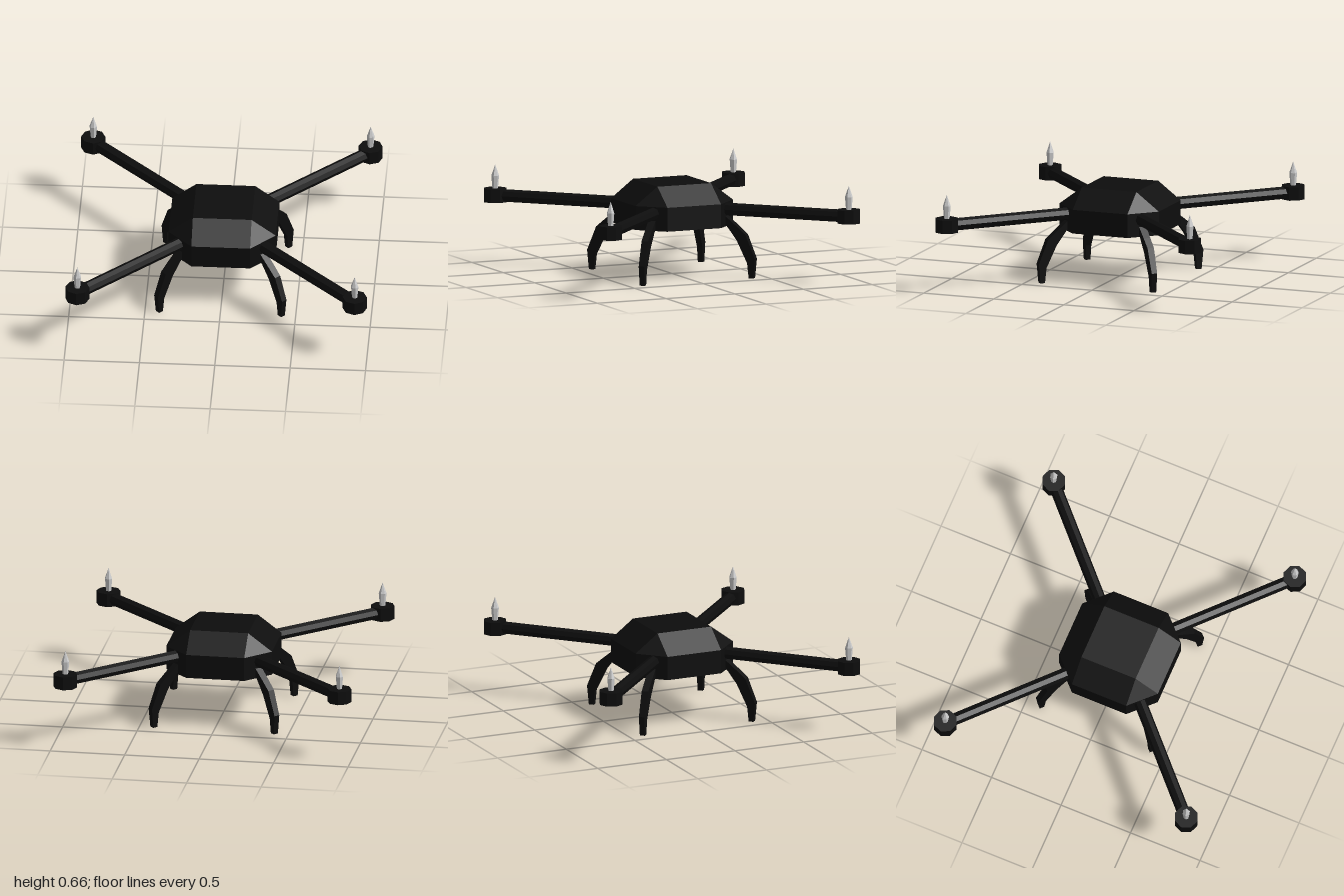
import * as THREE from 'three';
import { ConvexGeometry } from 'three/addons/geometries/ConvexGeometry.js';

const black = new THREE.MeshStandardMaterial({ color: 0x0d0d0d, flatShading: true });
const grey = new THREE.MeshStandardMaterial({ color: 0xcccccc, flatShading: true });

function add(parent, name, geometry, material) {
  const mesh = new THREE.Mesh(geometry, material);
  mesh.name = name;
  parent.add(mesh);
  return mesh;
}

// Octagonal hull with walls that slope in to a square roof
function bodyGeometry() {
  const W = 0.355, C = 0.195, points = [];
  for (const sx of [-1, 1]) for (const sz of [-1, 1]) {
    for (const y of [0.34, 0.5]) {
      points.push(new THREE.Vector3(sx * W, y, sz * C), new THREE.Vector3(sx * C, y, sz * W));
    }
    points.push(new THREE.Vector3(sx * C, 0.62, sz * C));
  }
  return new ConvexGeometry(points);
}

// Curved leg: side profile in the radial plane, thinning toward the foot
function legGeometry() {
  const profile = [
    [0.55, 0], [0.583, 0], [0.595, 0.13], [0.53, 0.29], [0.466, 0.345],
    [0.38, 0.415], [0.35, 0.39], [0.404, 0.335], [0.467, 0.25], [0.54, 0.1],
  ].map(([x, y]) => new THREE.Vector2(x, y));
  const geo = new THREE.ExtrudeGeometry(new THREE.Shape(profile), { depth: 1, bevelEnabled: false });
  const p = geo.attributes.position;
  for (let i = 0; i < p.count; i++) {
    p.setZ(i, (p.getZ(i) - 0.5) * (0.034 + 0.04 * p.getY(i)));
  }
  geo.computeVertexNormals();
  return geo;
}

// Pointed cap on top of each motor
function spinnerGeometry() {
  const profile = [[0, 0.49], [0.018, 0.49], [0.026, 0.585], [0, 0.66]];
  return new THREE.LatheGeometry(profile.map(([x, y]) => new THREE.Vector2(x, y)), 6);
}

export function createModel() {
  const model = new THREE.Group();
  model.name = 'quadcopter';
  add(model, 'body', bodyGeometry(), black);

  const hubX = 0.92, hubZ = 0.867;
  const reach = Math.hypot(hubX, hubZ), inner = 0.3;
  const armGeo = new THREE.CylinderGeometry(0.042, 0.042, reach - inner, 8)
    .rotateZ(Math.PI / 2).translate((reach + inner) / 2, 0.455, 0);
  const motorGeo = new THREE.CylinderGeometry(0.08, 0.08, 0.09, 8).translate(reach, 0.455, 0);
  const spinnerGeo = spinnerGeometry().translate(reach, 0, 0);
  const legGeo = legGeometry();

  // One arm, motor and leg toward each corner
  for (const [side, sx] of [['Left', 1], ['Right', -1]]) {
    for (const [end, sz] of [['front', 1], ['back', -1]]) {
      const arm = new THREE.Group();
      arm.name = `${end}${side}ArmAssembly`;
      arm.rotation.y = -Math.atan2(sz * hubZ, sx * hubX);
      add(arm, 'arm', armGeo, black);
      add(arm, 'motor', motorGeo, black);
      add(arm, 'spinner', spinnerGeo, grey);
      model.add(arm);

      const leg = add(model, `${end}${side}Leg`, legGeo, black);
      leg.rotation.y = -Math.atan2(sz * 0.98, sx);
    }
  }
  return model;
}
